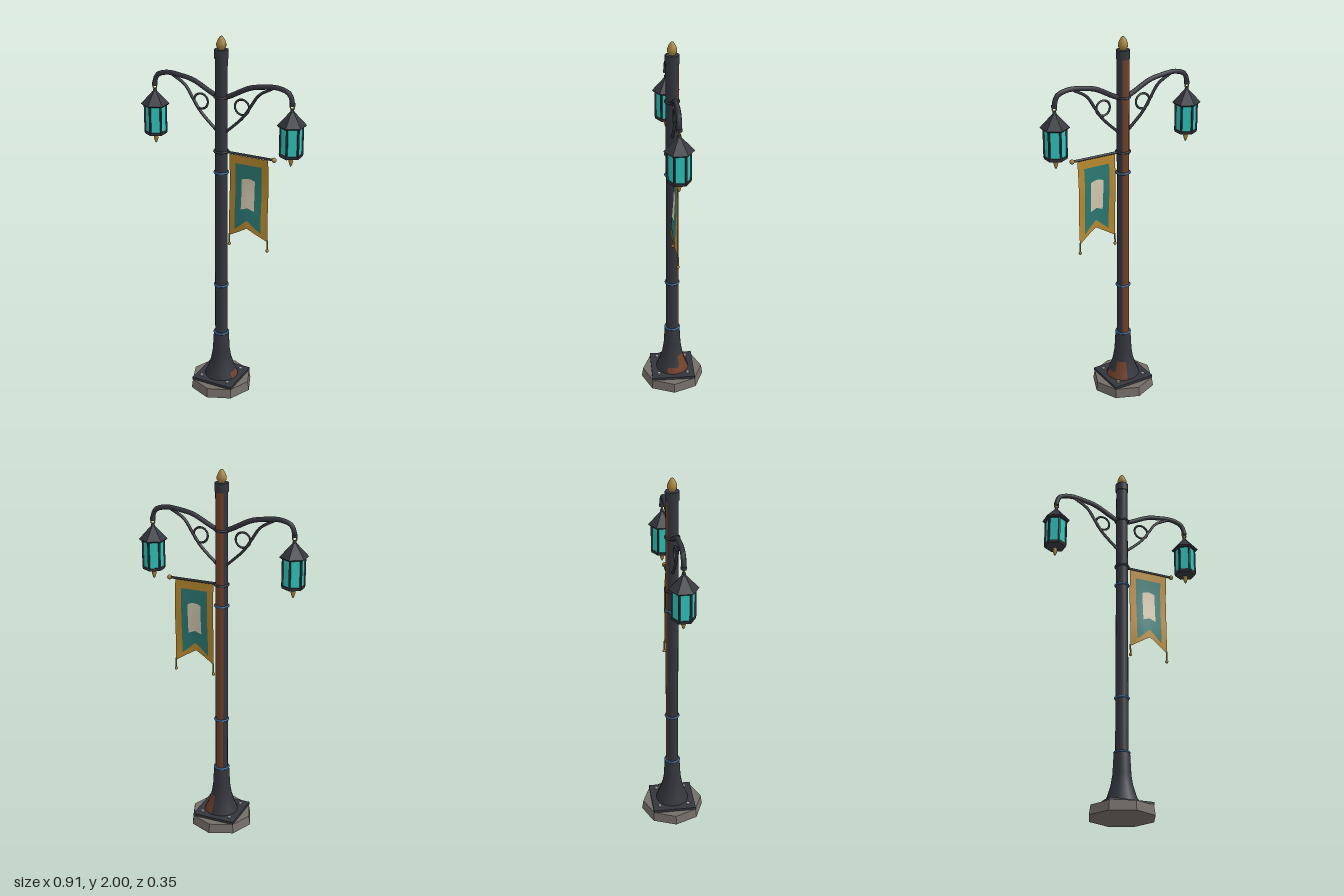
import * as THREE from 'three';

const mat = (color, opts = {}) => new THREE.MeshStandardMaterial({ color, ...opts });
const flat = { flatShading: true };
const thin = { side: THREE.DoubleSide };
const IRON = mat(0x34363d), IRON_FLAT = mat(0x34363d, flat), STONE = mat(0x746e68, flat);
const BRASS = mat(0xa5843f), RUST = mat(0x70402a, thin), BLUE = mat(0x35608f), STEEL = mat(0xa8a8a8, flat);
const GLASS = mat(0x2fc4bb, flat), TRIM = mat(0xb98a2f, thin), TEAL = mat(0x2d7a74, thin), CREAM = mat(0xd8cdb4, thin);

function add(parent, name, geo, material, x = 0, y = 0, z = 0) {
  const mesh = new THREE.Mesh(geo, material);
  mesh.name = name;
  mesh.position.set(x, y, z);
  parent.add(mesh);
  return mesh;
}
const cyl = (top, bottom, h, sides) => new THREE.CylinderGeometry(top, bottom, h, sides);
const lathe = (pts, sides = 16, start = 0, length = Math.PI * 2) =>
  new THREE.LatheGeometry(pts.map(([r, y]) => new THREE.Vector2(r, y)), sides, start, length);
const tube = (pts, segs, r, sides = 8) => new THREE.TubeGeometry(
  new THREE.CatmullRomCurve3(pts.map(([x, y]) => new THREE.Vector3(x, y, 0))), segs, r, sides);

// Hexagonal lantern, its origin at the hook
function makeLantern() {
  const g = new THREE.Group();
  g.name = 'lantern';
  add(g, 'hangingRing', new THREE.TorusGeometry(0.011, 0.004, 6, 12), BRASS, 0, -0.015);
  add(g, 'roofKnob', cyl(0.008, 0.012, 0.02, 8), IRON, 0, -0.033);
  add(g, 'roof', cyl(0.012, 0.075, 0.068, 6), IRON_FLAT, 0, -0.073);
  add(g, 'roofRim', cyl(0.075, 0.066, 0.008, 6), IRON_FLAT, 0, -0.111);
  add(g, 'glass', cyl(0.055, 0.055, 0.15, 6), GLASS, 0, -0.185);
  add(g, 'bottomFrame', cyl(0.062, 0.058, 0.016, 6), IRON_FLAT, 0, -0.262);
  add(g, 'underside', cyl(0.058, 0.02, 0.012, 6), IRON_FLAT, 0, -0.274);
  for (let i = 0; i < 6; i++) {
    const a = (i * Math.PI) / 3;
    const post = add(g, 'cornerPost', new THREE.BoxGeometry(0.009, 0.15, 0.009), IRON,
      0.056 * Math.sin(a), -0.185, 0.056 * Math.cos(a));
    post.rotation.y = a;
  }
  add(g, 'drop', lathe([[0, -0.325], [0.006, -0.316], [0.013, -0.293], [0.009, -0.285], [0.014, -0.278], [0, -0.276]], 10), BRASS);
  return g;
}

// Curved bracket with brace and scroll, reaching toward +x
function makeArm() {
  const g = new THREE.Group();
  g.name = 'lampArm';
  add(g, 'armTube', tube([[0, 1.68], [0.05, 1.7], [0.16, 1.755], [0.22, 1.768], [0.31, 1.776], [0.37, 1.758], [0.385, 1.735], [0.391, 1.7]], 22, 0.013), IRON);
  add(g, 'brace', tube([[0.025, 1.505], [0.12, 1.595], [0.165, 1.66], [0.21, 1.725], [0.29, 1.772]], 16, 0.008, 6), IRON);
  add(g, 'scroll', new THREE.TorusGeometry(0.04, 0.006, 6, 20), IRON, 0.117, 1.65);
  add(g, 'armTip', cyl(0.015, 0.015, 0.014, 8), IRON, 0.391, 1.704);
  const lantern = makeLantern();
  lantern.position.set(0.391, 1.705, 0);
  g.add(lantern);
  return g;
}

// Gentle billow of the cloth
const billow = (x, y) => 0.014 * ((1.39 - y) / 0.45) * Math.sin((x - 0.05) * 18) + 0.004 * Math.sin(y * 14);

// Swallow-tailed cloth panel with a notched bottom edge
function clothPanel(x0, x1, topY, sideY, notchY, offset, archY = 0) {
  const geo = new THREE.PlaneGeometry(1, 1, 12, 16);
  const p = geo.attributes.position;
  for (let i = 0; i < p.count; i++) {
    const u = p.getX(i), t = 0.5 - p.getY(i);
    const x = x0 + (u + 0.5) * (x1 - x0);
    const bottom = notchY + (sideY - notchY) * Math.abs(u) * 2;
    const top = topY + archY * (1 - 4 * u * u);
    const y = top + (bottom - top) * t;
    p.setXYZ(i, x, y, billow(x, y) + offset);
  }
  geo.computeVertexNormals();
  return geo;
}

function makeBanner() {
  const g = new THREE.Group();
  g.name = 'banner';
  add(g, 'rod', cyl(0.007, 0.007, 0.28, 8), IRON, 0.16, 1.4).rotation.z = Math.PI / 2;
  add(g, 'rodBall', new THREE.SphereGeometry(0.013, 10, 8), BRASS, 0.3, 1.4);
  add(g, 'border', clothPanel(0.048, 0.268, 1.393, 0.935, 1.0, 0), TRIM);
  for (const s of [1, -1]) {
    add(g, 'field', clothPanel(0.084, 0.232, 1.348, 0.98, 1.045, s * 0.002), TEAL);
    add(g, 'centrePatch', clothPanel(0.121, 0.195, 1.265, 1.1, 1.115, s * 0.004, 0.01), CREAM);
  }
  for (const x of [0.049, 0.267]) {
    const z = billow(x, 0.935);
    add(g, 'tasselCord', cyl(0.004, 0.004, 0.06, 6), BRASS, x, 0.915, z);
    add(g, 'tasselBall', new THREE.SphereGeometry(0.009, 8, 6), BRASS, x, 0.886, z);
  }
  return g;
}

export function createModel() {
  const model = new THREE.Group();
  model.name = 'streetLamp';

  // Stone footing, iron plate and bolts
  add(model, 'stoneFooting', cyl(0.167, 0.175, 0.052, 8), STONE, 0, 0.026);
  add(model, 'basePlate', new THREE.BoxGeometry(0.24, 0.016, 0.24), IRON, 0, 0.058);
  for (const x of [-0.081, 0.081]) for (const z of [-0.081, 0.081])
    add(model, 'bolt', cyl(0.01, 0.01, 0.01, 6), STEEL, x, 0.07, z);

  // Flared foot and pole
  const flare = [[0.091, 0.064], [0.089, 0.075], [0.074, 0.11], [0.057, 0.165], [0.048, 0.22], [0.042, 0.33], [0.033, 0.338]];
  add(model, 'flaredFoot', lathe(flare, 20), IRON);
  add(model, 'pole', cyl(0.032, 0.034, 1.57, 16), IRON, 0, 1.115);
  add(model, 'poleCap', cyl(0.036, 0.036, 0.045, 16), IRON, 0, 1.91);
  add(model, 'finial', lathe([[0.016, 1.93], [0.018, 1.937], [0.025, 1.948], [0.025, 1.962], [0.018, 1.98], [0.008, 1.996], [0, 2]], 12), BRASS);

  // Rust patches on the back of the pole and on the foot
  const deg = Math.PI / 180;
  add(model, 'poleRust', lathe([[0.0352, 0.34], [0.0332, 1.885]], 6, 142 * deg, 76 * deg), RUST);
  const proud = (pts) => pts.map(([r, y]) => [r + 0.002, y]);
  add(model, 'footRustLow', lathe(proud([[0.091, 0.066], [0.089, 0.075], [0.0785, 0.1]]), 8, 68 * deg, 97 * deg), RUST);
  add(model, 'footRustHigh', lathe(proud([[0.0785, 0.1], [0.074, 0.11], [0.057, 0.165]]), 5, 115 * deg, 50 * deg), RUST);

  // Collars around the pole
  const collars = [[0.335, 0.038, BLUE], [0.63, 0.035, BLUE], [1.285, 0.035, BLUE], [1.4, 0.036, IRON], [1.69, 0.035, IRON]];
  for (const [y, r, m] of collars)
    add(model, 'collar', new THREE.TorusGeometry(r, 0.006, 8, 20), m, 0, y).rotation.x = Math.PI / 2;

  // Mirrored arms with lanterns
  for (const turn of [0, Math.PI]) {
    const arm = makeArm();
    arm.rotation.y = turn;
    model.add(arm);
  }
  model.add(makeBanner());
  return model;
}
